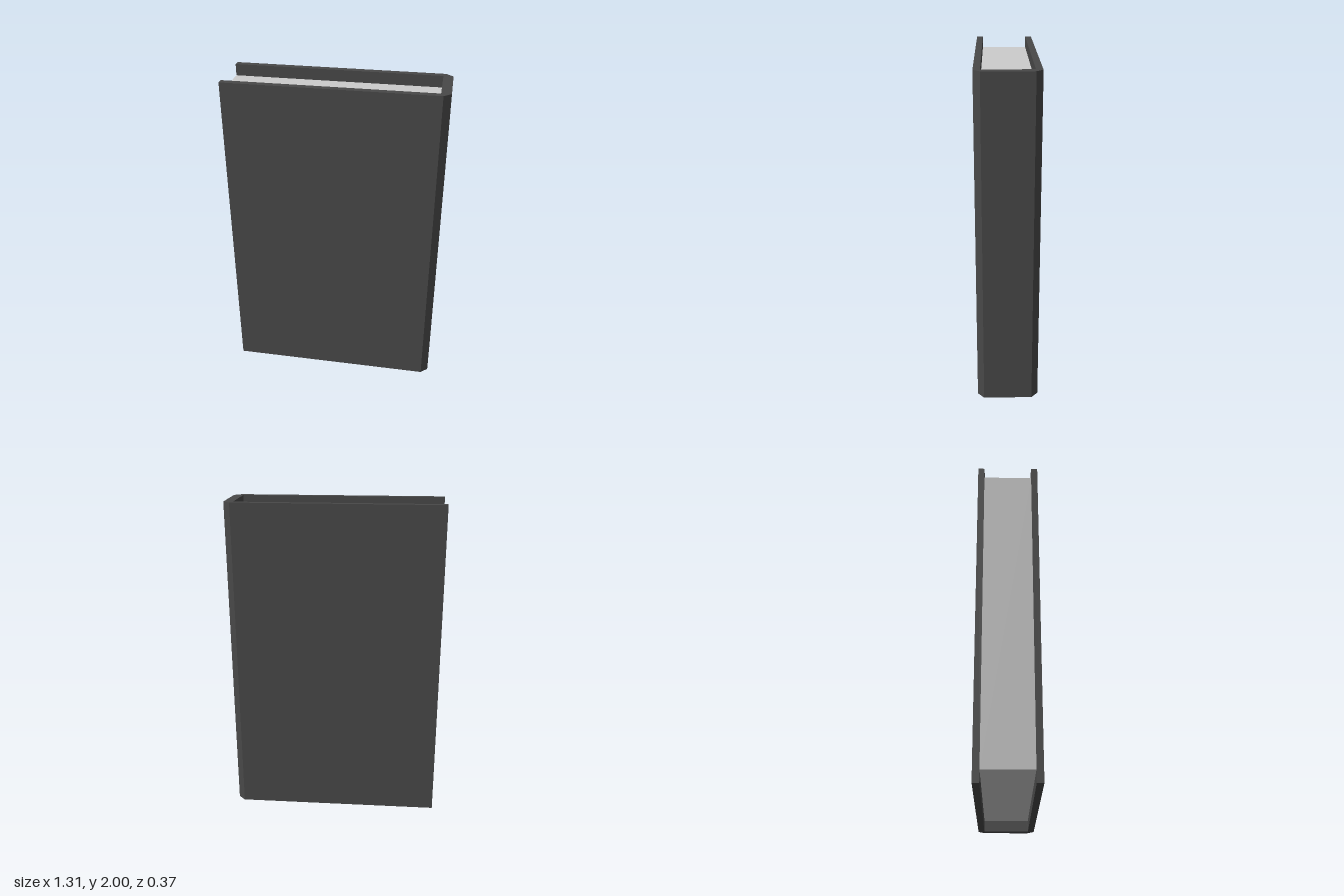
import * as THREE from 'three';

const HEIGHT = 2, HALF_W = 0.655, HALF_D = 0.184;
const INNER_D = 0.145, INNER_X = 0.597, CHAMFER_X = 0.612;
const PAGE_INSET = 0.07;

export function createModel() {
  const book = new THREE.Group();
  book.name = 'book';

  // Cover: U-shaped section with a chamfered spine, open at the fore edge
  const section = new THREE.Shape([
    [-HALF_W, -HALF_D], [CHAMFER_X, -HALF_D], [HALF_W, -INNER_D],
    [HALF_W, INNER_D], [CHAMFER_X, HALF_D], [-HALF_W, HALF_D],
    [-HALF_W, INNER_D], [INNER_X, INNER_D], [INNER_X, -INNER_D], [-HALF_W, -INNER_D],
  ].map(([x, z]) => new THREE.Vector2(x, z)));
  const coverGeometry = new THREE.ExtrudeGeometry(section, { depth: HEIGHT, bevelEnabled: false });
  coverGeometry.rotateX(-Math.PI / 2);
  const cover = new THREE.Mesh(coverGeometry,
    new THREE.MeshStandardMaterial({ color: 0x484848 }));
  cover.name = 'cover';
  book.add(cover);

  // Page block: fills the cover, set in at the top and bottom
  const pages = new THREE.Mesh(
    new THREE.BoxGeometry(HALF_W + INNER_X, HEIGHT - 2 * PAGE_INSET, 2 * INNER_D),
    new THREE.MeshStandardMaterial({ color: 0xcccccc }));
  pages.name = 'pages';
  pages.position.set((INNER_X - HALF_W) / 2, HEIGHT / 2, 0);
  book.add(pages);

  return book;
}
